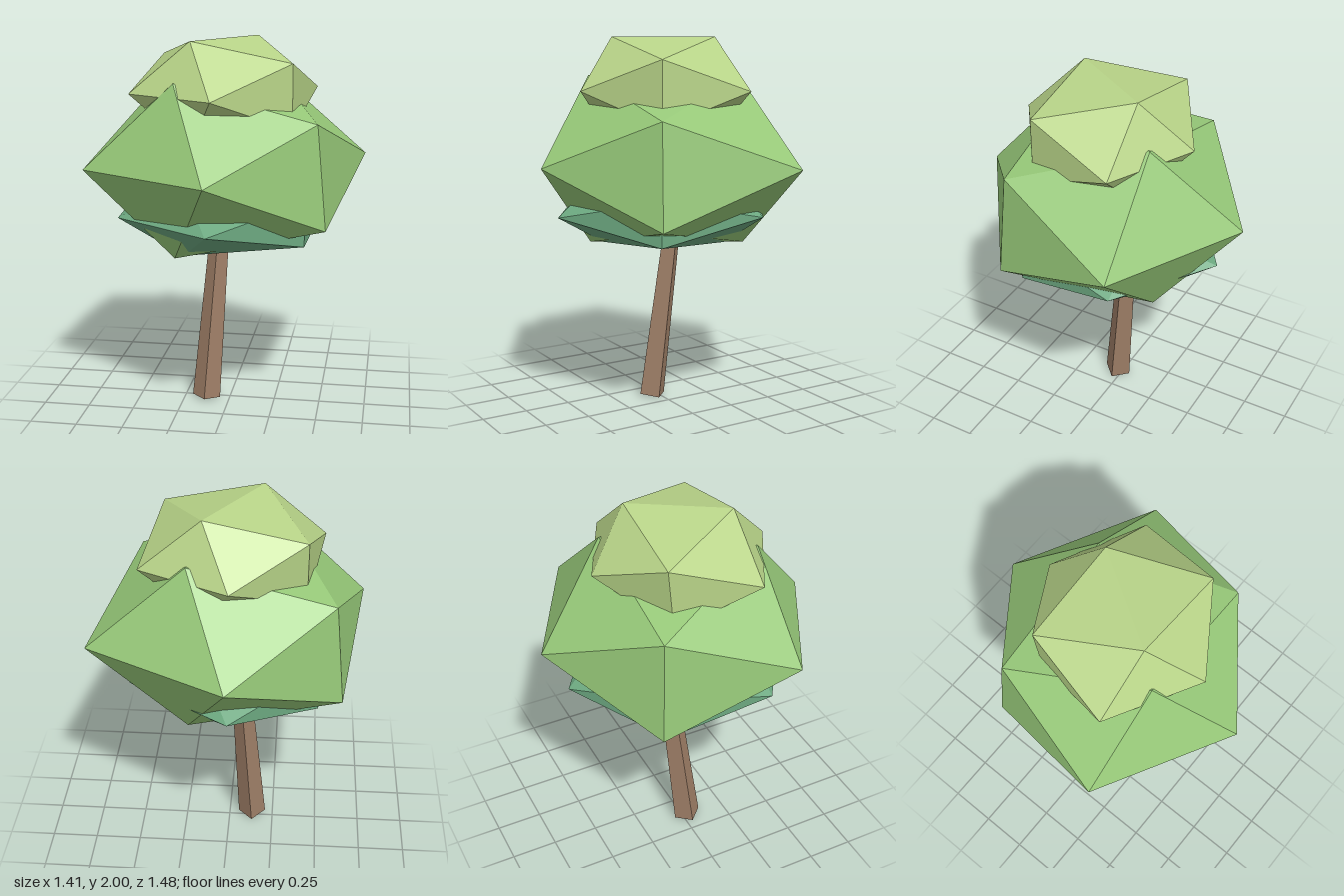
import * as THREE from 'three';

const material = (color) => new THREE.MeshStandardMaterial({ color, flatShading: true });

// Squashed icosahedron with its poles on the z axis; nudges shift single corners.
function foliage(name, color, { center, rx, ry, ringZ, poleZ, nudges = {} }) {
  const corners = [[0, 0, poleZ]];
  const addRing = (startDeg, z) => {
    for (let i = 0; i < 5; i++) {
      const a = THREE.MathUtils.degToRad(startDeg + 72 * i);
      corners.push([rx * Math.cos(a), ry * Math.sin(a), z]);
    }
  };
  addRing(36, ringZ); // front ring: corners 1-5
  addRing(0, -ringZ); // back ring: corners 6-10
  corners.push([0, 0, -poleZ]);

  const positions = corners.flatMap((p, i) =>
    p.map((v, k) => v + center[k] + (nudges[i] ? nudges[i][k] : 0)));

  const faces = [];
  for (let i = 0; i < 5; i++) {
    const j = (i + 1) % 5;
    faces.push(0, 1 + i, 1 + j); // front cap
    faces.push(1 + i, 6 + j, 1 + j); // side band
    faces.push(6 + i, 6 + j, 1 + i);
    faces.push(11, 6 + j, 6 + i); // back cap
  }

  const indexed = new THREE.BufferGeometry();
  indexed.setAttribute('position', new THREE.Float32BufferAttribute(positions, 3));
  indexed.setIndex(faces);
  const geometry = indexed.toNonIndexed();
  geometry.computeVertexNormals();
  const mesh = new THREE.Mesh(geometry, material(color));
  mesh.name = name;
  return mesh;
}

// Leaning, tapered four-sided trunk between two points.
function trunk() {
  const base = new THREE.Vector3(-0.13, 0.01, 0.03);
  const top = new THREE.Vector3(-0.06, 1.05, -0.07);
  const axis = top.clone().sub(base);
  const geometry = new THREE.CylinderGeometry(0.05, 0.077, axis.length(), 4);
  const mesh = new THREE.Mesh(geometry, material(0xa08068));
  mesh.position.copy(base).add(top).multiplyScalar(0.5);
  mesh.quaternion.setFromUnitVectors(new THREE.Vector3(0, 1, 0), axis.normalize());
  mesh.name = 'trunk';
  return mesh;
}

export function createModel() {
  const tree = new THREE.Group();
  tree.name = 'tree';
  tree.add(
    trunk(),
    foliage('lowerFoliage', 0x6ca880, {
      center: [-0.025, 1.09, 0.018], rx: 0.56, ry: 0.2, ringZ: 0.28, poleZ: 0.628,
      nudges: { 3: [0.04, 0, 0], 6: [-0.03, 0, 0] },
    }),
    foliage('middleFoliage', 0x96c878, {
      center: [-0.02, 1.35, 0], rx: 0.69, ry: 0.473, ringZ: 0.355, poleZ: 0.738,
      nudges: {
        1: [-0.05, -0.02, -0.025], 6: [0.035, 0, 0], 7: [0, 0, 0.04],
        8: [0.03, -0.02, 0.04], 9: [-0.02, 0, 0.01],
      },
    }),
    foliage('upperFoliage', 0xb8d488, {
      center: [-0.022, 1.73, 0.03], rx: 0.465, ry: 0.284, ringZ: 0.22, poleZ: 0.48,
      nudges: { 6: [0, 0, -0.03], 7: [0, 0, -0.02], 8: [0, 0, -0.03] },
    }),
  );
  return tree;
}
